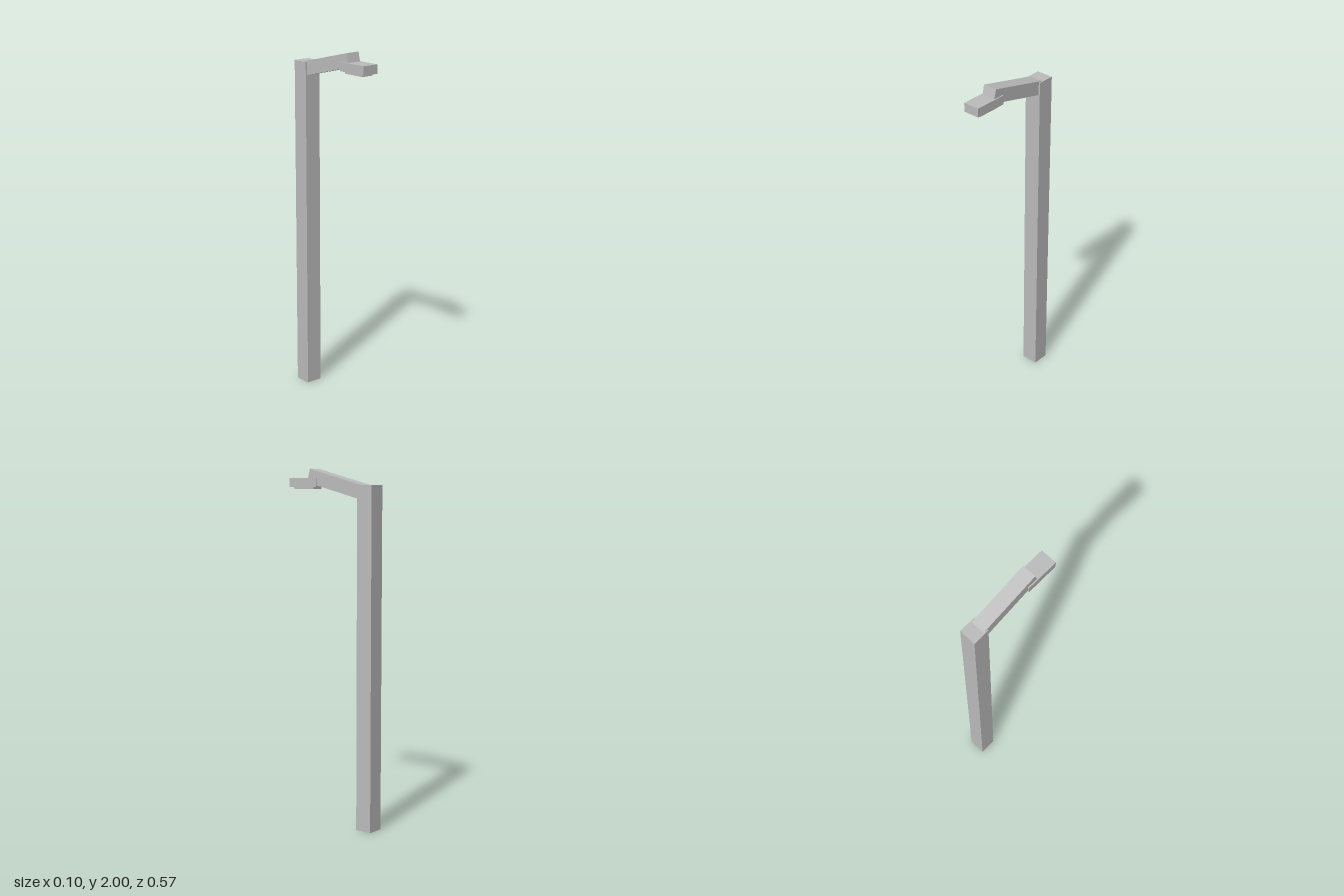
import * as THREE from 'three';

export function createModel() {
  const model = new THREE.Group();
  model.name = 'streetLamp';

  const metal = new THREE.MeshStandardMaterial({ color: 0xbcbcbc });
  metal.name = 'grey metal';

  // Box given by its size and centre
  const addBox = (name, size, centre) => {
    const mesh = new THREE.Mesh(new THREE.BoxGeometry(...size), metal);
    mesh.name = name;
    mesh.position.set(...centre);
    model.add(mesh);
    return mesh;
  };

  // Square post at the back
  addBox('post', [0.097, 1.912, 0.097], [0, 0.956, -0.238]);

  // Arm rising forward from inside the post; placed by its upper front edge
  const tilt = 0.24, thickness = 0.077, length = 0.4;
  const arm = addBox('arm', [0.081, thickness, length], [0, 2, 0.145]);
  arm.rotation.x = -tilt;
  arm.updateMatrix();
  arm.translateY(-thickness / 2);
  arm.translateZ(-length / 2);

  // Lamp head with an inset light panel below it
  addBox('lampHead', [0.095, 0.05, 0.19], [0, 1.924, 0.191]);
  addBox('lightPanel', [0.072, 0.014, 0.138], [0, 1.895, 0.193]);

  return model;
}
